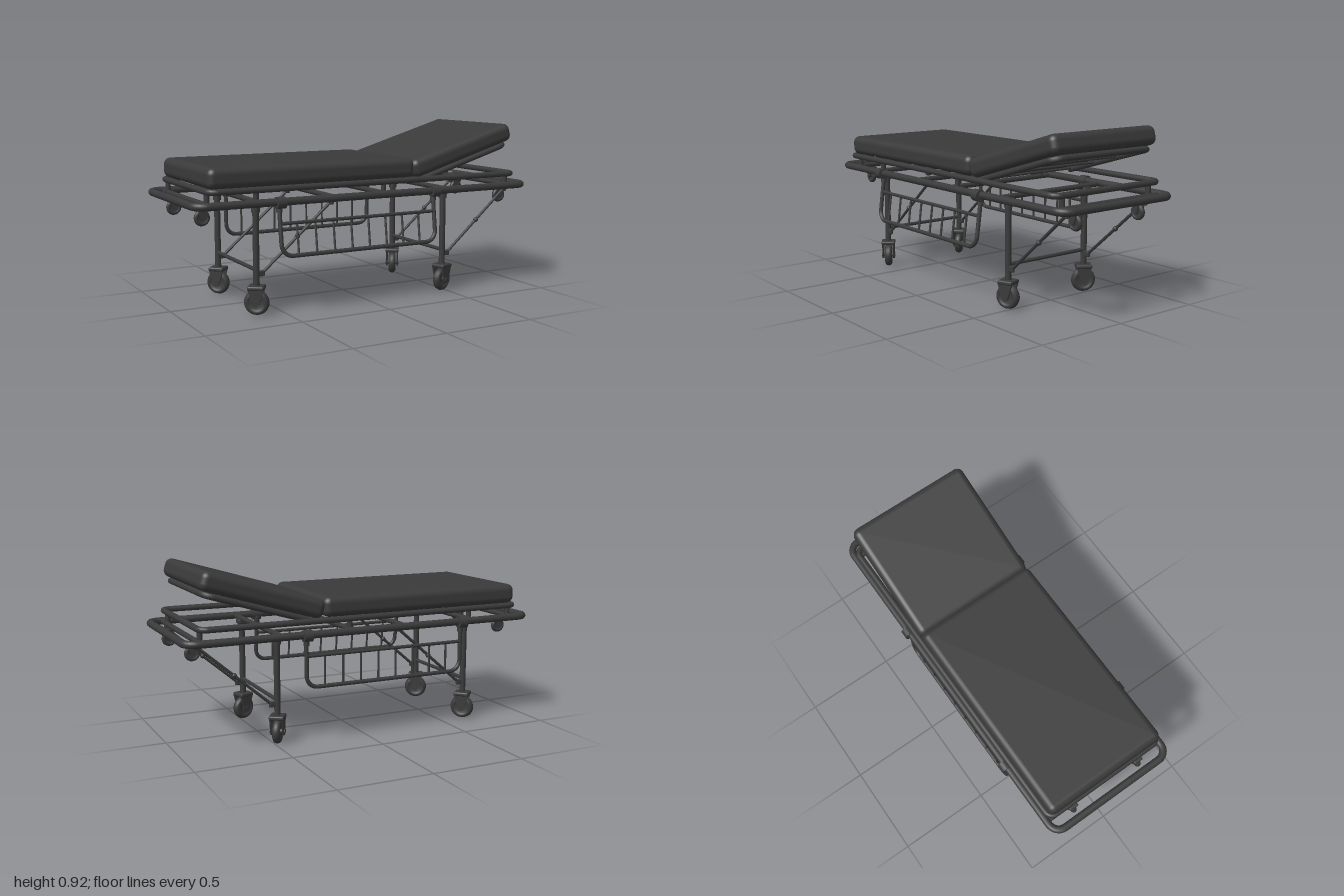
import * as THREE from 'three';
import { RoundedBoxGeometry } from 'three/addons/geometries/RoundedBoxGeometry.js';

const V = (x, y, z) => new THREE.Vector3(x, y, z);
const dark = new THREE.MeshStandardMaterial({ color: 0x3a3a3a });

function add(parent, name, geometry, x = 0, y = 0, z = 0) {
  const mesh = new THREE.Mesh(geometry, dark);
  mesh.name = name;
  mesh.position.set(x, y, z);
  parent.add(mesh);
  return mesh;
}

// Straight round bar between two points
function bar(parent, name, a, b, r, sides = 14) {
  const mesh = add(parent, name, new THREE.CylinderGeometry(r, r, a.distanceTo(b), sides));
  mesh.position.copy(a).add(b).multiplyScalar(0.5);
  mesh.quaternion.setFromUnitVectors(V(0, 1, 0), b.clone().sub(a).normalize());
  return mesh;
}

// Bent tube through corner points, each corner rounded by radius c
function bentTube(parent, name, pts, c, r, closed, segments) {
  const path = new THREE.CurvePath();
  const n = pts.length;
  const toward = (p, q) => p.clone().add(q.clone().sub(p).setLength(c));
  let pen = closed ? toward(pts[0], pts[1]) : pts[0];
  const start = pen;
  for (let i = 1; i < (closed ? n + 1 : n - 1); i++) {
    const p = pts[i % n], before = toward(p, pts[i - 1]), after = toward(p, pts[(i + 1) % n]);
    path.add(new THREE.LineCurve3(pen, before));
    // cubic handles that follow a circular bend
    const k = 0.55;
    path.add(new THREE.CubicBezierCurve3(before, before.clone().lerp(p, k), after.clone().lerp(p, k), after));
    pen = after;
  }
  if (!closed) path.add(new THREE.LineCurve3(pen, pts[n - 1]));
  else if (pen.distanceTo(start) > 1e-4) path.add(new THREE.LineCurve3(pen, start));
  return add(parent, name, new THREE.TubeGeometry(path, segments, r, 12, closed));
}

function rectangleFrame(parent, name, hx, y, hz, c, r) {
  bentTube(parent, name, [V(-hx, y, -hz), V(-hx, y, hz), V(hx, y, hz), V(hx, y, -hz)], c, r, true, 360);
}

// Swivel caster standing on y = 0, axle along z before the yaw
function caster(parent, name, x, y, z, yaw, size) {
  const g = new THREE.Group();
  g.name = name;
  g.position.set(x, y, z);
  g.rotation.y = yaw;
  g.scale.setScalar(size);
  parent.add(g);
  const tyre = [[0, -0.012], [0.035, -0.012], [0.04, -0.02], [0.052, -0.02], [0.061, -0.013], [0.065, 0],
    [0.061, 0.013], [0.052, 0.02], [0.04, 0.02], [0.035, 0.012], [0, 0.012]].map(p => new THREE.Vector2(...p));
  add(g, 'wheel', new THREE.LatheGeometry(tyre, 32), 0, 0.065, 0).rotation.x = Math.PI / 2;
  bar(g, 'axle', V(0, 0.065, -0.04), V(0, 0.065, 0.04), 0.013);
  add(g, 'forkCrown', new RoundedBoxGeometry(0.085, 0.022, 0.08, 2, 0.008), 0, 0.141, 0);
  const arm = new THREE.Shape();
  arm.moveTo(-0.042, 0.14);
  arm.lineTo(-0.018, 0.06);
  arm.absarc(0, 0.062, 0.018, Math.PI, 2 * Math.PI, false);
  arm.lineTo(0.042, 0.14);
  for (const s of [-1, 1]) {
    add(g, 'forkArm', new THREE.ExtrudeGeometry(arm, { depth: 0.01, bevelEnabled: false }), 0, 0, s * 0.031 - 0.005);
  }
}

export function createModel() {
  const model = new THREE.Group();
  model.name = 'stretcher';

  // Two stacked tube frames
  rectangleFrame(model, 'lowerFrame', 0.98, 0.576, 0.36, 0.06, 0.02);
  rectangleFrame(model, 'upperFrame', 0.905, 0.64, 0.345, 0.04, 0.016);
  for (const x of [-0.9, -0.64, -0.22, 0.085, 0.48, 0.9]) {
    bar(model, 'lowerCrossbar', V(x, 0.573, -0.36), V(x, 0.573, 0.36), 0.014);
  }
  for (const x of [-0.9, -0.645, 0.085, 0.89]) {
    for (const z of [-0.285, 0.29]) bar(model, 'framePost', V(x, 0.575, z), V(x, 0.64, z), 0.014);
  }
  // Slats carrying the mattress
  for (let i = 0; i < 9; i++) {
    const x = -0.8 + i * 0.13;
    bar(model, 'slat', V(x, 0.643, -0.345), V(x, 0.643, 0.345), 0.009, 10);
  }

  // Flat mattress
  add(model, 'mattress', new RoundedBoxGeometry(1.16, 0.105, 0.69, 5, 0.036), -0.33, 0.7025, 0);

  // Raised backrest with its own bent frame
  const back = new THREE.Group();
  back.name = 'backrest';
  back.position.set(0.262, 0.64, 0);
  back.rotation.z = 0.288;
  model.add(back);
  add(back, 'backrestCushion', new RoundedBoxGeometry(0.67, 0.1, 0.69, 5, 0.036), 0.335, 0.05, 0);
  bentTube(back, 'backrestFrame', [V(0.03, -0.016, -0.315), V(0.63, -0.016, -0.315),
    V(0.63, -0.016, 0.315), V(0.03, -0.016, 0.315)], 0.05, 0.016, false, 160);
  for (const x of [0.05, 0.23, 0.4, 0.53]) {
    bar(back, 'backrestSlat', V(x, -0.012, -0.3), V(x, -0.012, 0.3), 0.007, 10);
  }

  // Legs, braces and casters; each wheel is swivelled differently
  const yaws = { '-0.64,0.27': -0.6, '-0.64,-0.25': -0.8, '0.48,0.27': 0.35, '0.48,-0.25': 1.0 };
  for (const x of [-0.64, 0.48]) {
    for (const z of [0.27, -0.25]) {
      bar(model, 'leg', V(x, 0.145, z), V(x, 0.575, z), 0.0165);
      bar(model, 'legCollar', V(x, 0.52, z), V(x, 0.56, z), 0.022);
      add(model, 'legBracket', new RoundedBoxGeometry(0.05, 0.025, 0.05, 2, 0.006), x, 0.556, z);
      caster(model, 'legCaster', x, 0, z, yaws[`${x},${z}`], 1);
      const low = V(x + 0.03, 0.21, z), high = V(x + 0.42, 0.545, z);
      bar(model, 'brace', low, high, 0.008, 10);
      add(model, 'braceLowerLug', new RoundedBoxGeometry(0.045, 0.03, 0.018, 2, 0.006), x + 0.022, 0.21, z);
      add(model, 'braceJoint', new THREE.SphereGeometry(0.014, 14, 10)).position.copy(low).lerp(high, 0.51);
      add(model, 'braceUpperLug', new RoundedBoxGeometry(0.03, 0.04, 0.022, 2, 0.006), high.x, 0.55, z);
    }
    bar(model, 'legCrossbar', V(x, 0.23, -0.25), V(x, 0.23, 0.27), 0.01);
  }

  // Small loading casters below both ends of the lower frame
  for (const x of [-0.9, 0.905]) {
    for (const z of [0.218, -0.2]) caster(model, 'loadingCaster', x, 0.463, z, 0, 0.63);
  }

  // Hanging side rails; the front one leans out slightly
  for (const side of [1, -1]) {
    const rail = new THREE.Group();
    rail.name = side > 0 ? 'frontSideRail' : 'backSideRail';
    rail.position.set(0, 0.576, side > 0 ? 0.345 : -0.353);
    rail.rotation.x = side > 0 ? -0.13 : 0;
    model.add(rail);
    bentTube(rail, 'railTube', [V(-0.548, 0, 0), V(-0.548, -0.272, 0), V(0.36, -0.272, 0), V(0.36, 0, 0)],
      0.06, 0.011, false, 160);
    bar(rail, 'railMiddleBar', V(-0.548, -0.11, 0), V(0.36, -0.11, 0), 0.009);
    for (let i = 0; i < 8; i++) {
      const x = -0.457 + i * 0.1022;
      bar(rail, 'baluster', V(x, -0.11, 0), V(x, -0.272, 0), 0.006, 8);
    }
    // Hinge sleeves around the lower frame
    for (const x of [-0.548, 0.36]) {
      bar(rail, 'railCollar', V(x, -0.055, 0), V(x, -0.01, 0), 0.016);
      bar(model, 'hingeSleeve', V(x - 0.023, 0.573, side * 0.366), V(x + 0.023, 0.573, side * 0.366), 0.03, 20);
    }
  }
  return model;
}
